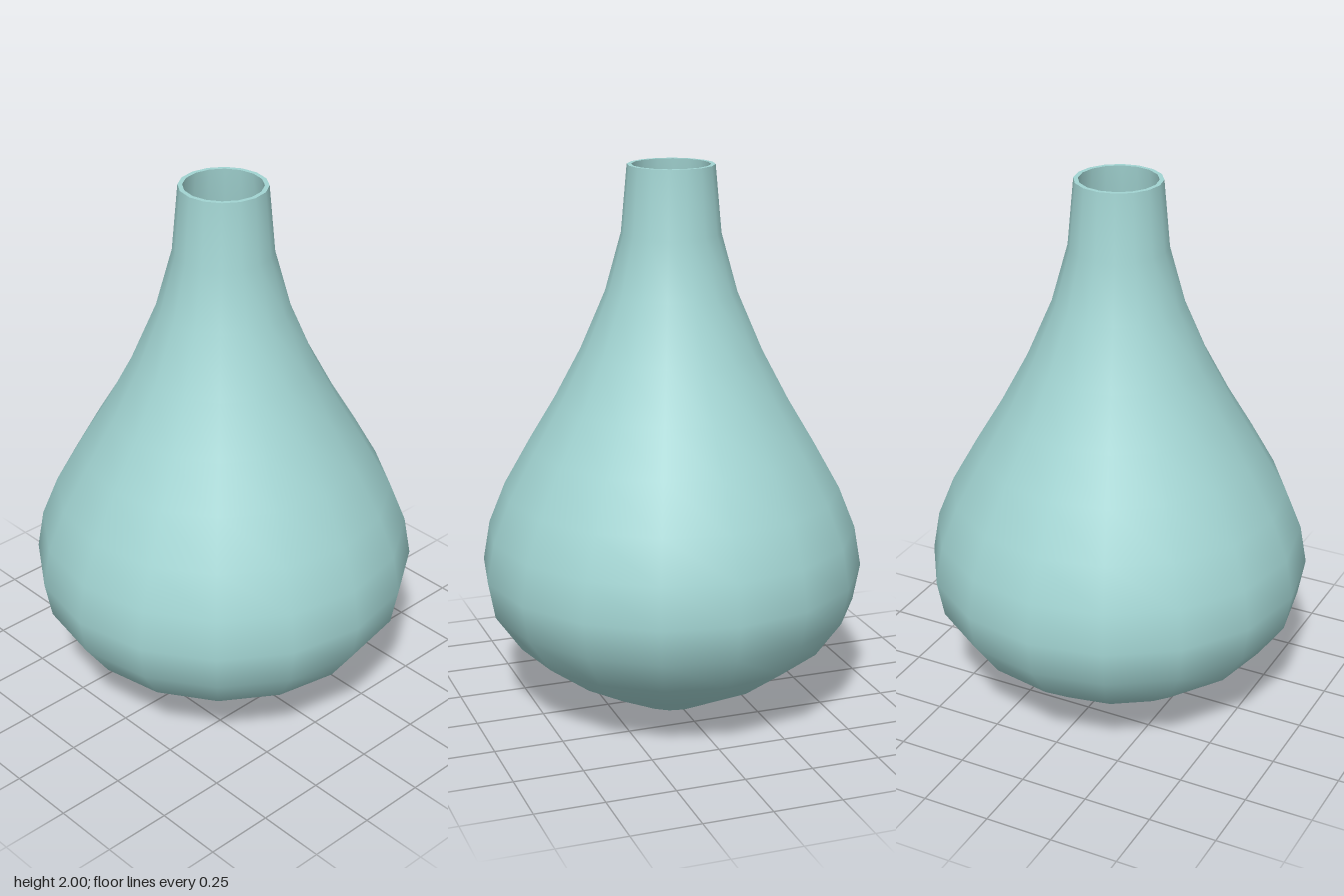
import * as THREE from 'three';

const SIDES = 16;
const WALL = 0.016;

// Outer profile [radius, height], from foot to lip
const PROFILE = [
  [0.14, 0], [0.4, 0.135], [0.575, 0.265], [0.67, 0.4], [0.695, 0.535],
  [0.67, 0.68], [0.61, 0.83], [0.515, 1.0], [0.42, 1.16], [0.325, 1.34],
  [0.235, 1.55], [0.177, 1.76], [0.155, 2],
].map(([r, y]) => new THREE.Vector2(r, y));

// Push the profile inwards along its normal to get the inside of the wall
function insetProfile(points, d) {
  const last = points.length - 1;
  return points.map((p, i) => {
    const t = points[Math.min(i + 1, last)].clone().sub(points[Math.max(i - 1, 0)]).normalize();
    if (i === last) return new THREE.Vector2(p.x - d, p.y);
    if (i === 0) return new THREE.Vector2(p.x, p.y + d);
    return new THREE.Vector2(p.x - t.y * d, p.y + t.x * d);
  });
}

export function createModel() {
  const vase = new THREE.Group();
  vase.name = 'vase';
  const material = new THREE.MeshStandardMaterial({ color: 0xa2d4d2 });

  const addLathe = (name, points) => {
    const mesh = new THREE.Mesh(new THREE.LatheGeometry(points, SIDES), material);
    mesh.name = name;
    vase.add(mesh);
  };

  const inner = insetProfile(PROFILE, WALL);
  const axis = (y) => new THREE.Vector2(0, y);

  // Foot and outside wall
  addLathe('base', [axis(0), PROFILE[0]]);
  addLathe('outerWall', PROFILE);
  // Flat lip joining both walls
  addLathe('rim', [PROFILE.at(-1), inner.at(-1)]);
  // Inside wall and floor, running downwards so the faces look inwards
  addLathe('innerWall', [...inner].reverse());
  addLathe('innerFloor', [inner[0], axis(WALL)]);

  return vase;
}
